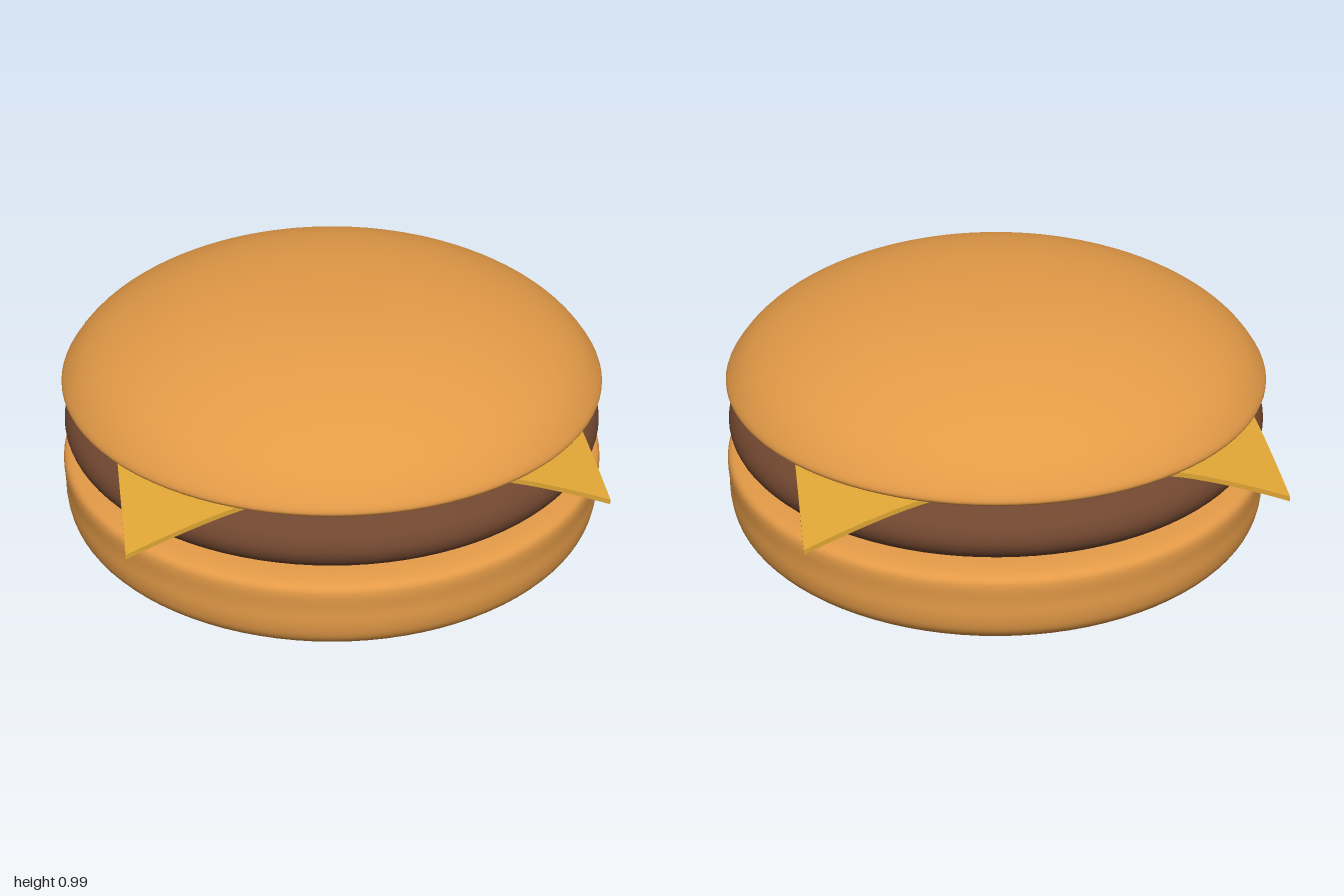
import * as THREE from 'three';

// Smooth round solid from a few [radius, height] points, listed bottom to top
function roundPart(name, points, color) {
  const curve = new THREE.CatmullRomCurve3(
    points.map(([r, y]) => new THREE.Vector3(r, y, 0)), false, 'centripetal');
  const profile = curve.getPoints(56).map(p => new THREE.Vector2(Math.max(0, p.x), p.y));
  const mesh = new THREE.Mesh(
    new THREE.LatheGeometry(profile, 96),
    new THREE.MeshStandardMaterial({ color }));
  mesh.name = name;
  return mesh;
}

// Thin square slice whose four corners droop along diagonal folds
function cheeseSlice() {
  const half = 0.83, thick = 0.018, top = 0.612;
  const geo = new THREE.BoxGeometry(half * 2, thick, half * 2, 40, 1, 40);
  const pos = geo.attributes.position;
  for (let i = 0; i < pos.count; i++) {
    const x = pos.getX(i), z = pos.getZ(i);
    const fold = Math.max(0, (Math.abs(x) + Math.abs(z) - 1.2) / (half * 2 - 1.2));
    // Edges flare out slightly toward the corners
    const flare = 0.975 + 0.025 * fold;
    pos.setXYZ(i, x * flare, pos.getY(i) + top - thick / 2 - 0.145 * Math.pow(fold, 1.35), z * flare);
  }
  geo.computeVertexNormals();
  const mesh = new THREE.Mesh(geo, new THREE.MeshStandardMaterial({ color: 0xdda434 }));
  mesh.position.set(-0.02, 0, -0.015);
  mesh.name = 'cheeseSlice';
  return mesh;
}

export function createModel() {
  const group = new THREE.Group();
  group.name = 'burger';
  const bun = 0xe39a47;

  group.add(roundPart('bottomBun', [
    [0, 0], [0.4, 0.006], [0.65, 0.02], [0.82, 0.045], [0.93, 0.085], [0.985, 0.135],
    [1, 0.19], [1, 0.26], [1, 0.335], [0.985, 0.355], [0.93, 0.368], [0.8, 0.374], [0, 0.374],
  ], bun));

  // Patty with a fully rounded rim
  const rim = [];
  for (let i = 0; i <= 10; i++) {
    const a = -Math.PI / 2 + Math.PI * i / 10;
    rim.push([0.8 + 0.187 * Math.cos(a), 0.482 + 0.114 * Math.sin(a)]);
  }
  group.add(roundPart('patty', [[0, 0.368], [0.4, 0.368], ...rim, [0.4, 0.596], [0, 0.596]], 0x70462f));

  group.add(cheeseSlice());

  group.add(roundPart('topBun', [
    [0, 0.6], [0.5, 0.6], [0.78, 0.603], [0.91, 0.611], [0.975, 0.625], [0.987, 0.642],
    [0.96, 0.692], [0.9, 0.757], [0.8, 0.825], [0.65, 0.893], [0.5, 0.939], [0.3, 0.974],
    [0.12, 0.985], [0, 0.986],
  ], bun));
  return group;
}
